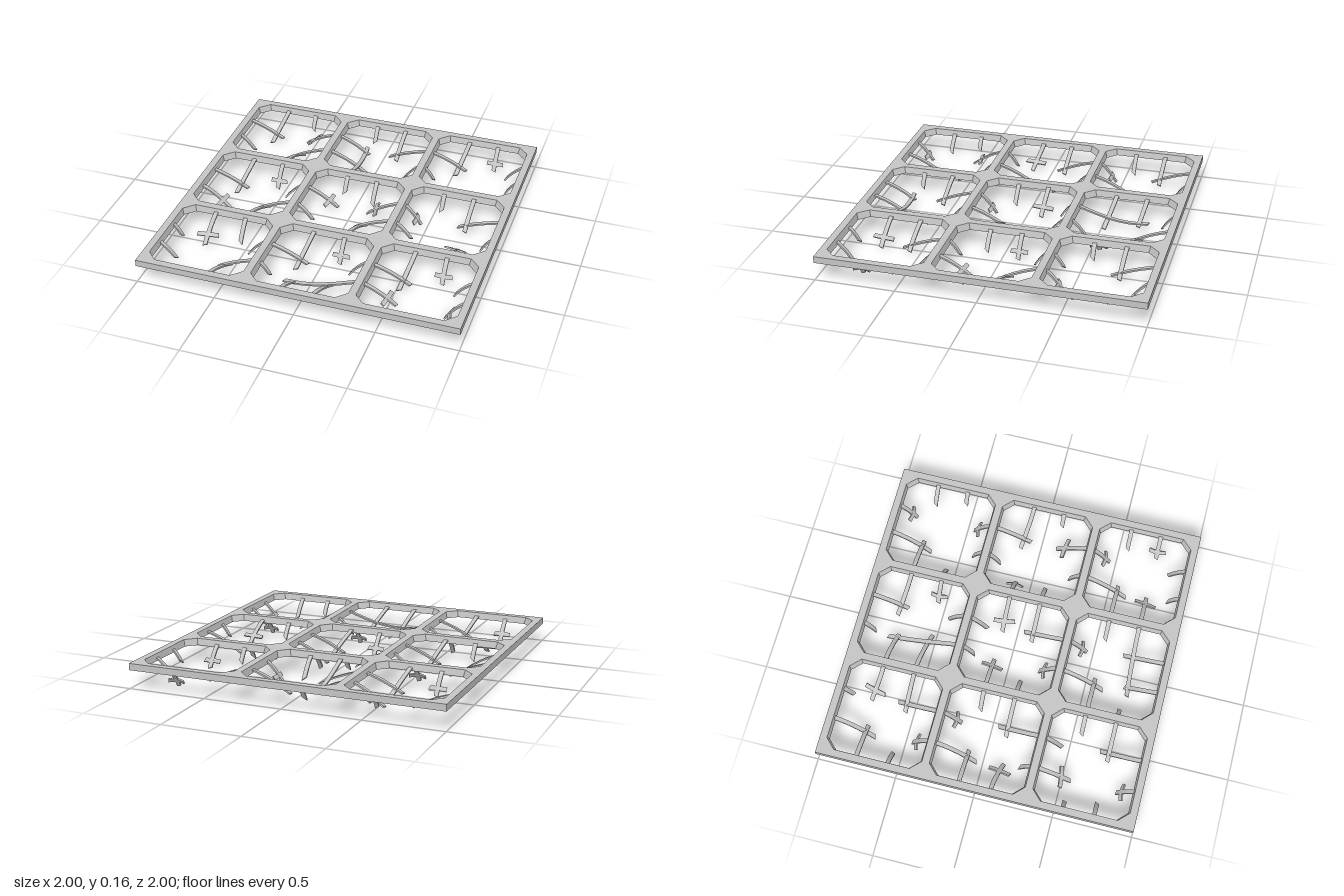
import * as THREE from 'three';

const HALF = 0.303;                       // half size of one opening
const CENTRES = [-0.6525, 0, 0.6525];
const LANES = [[-0.752, -0.553], [-0.1, 0.1], [0.553, 0.748]];
const FRAME_BOTTOM = 0.128, FRAME_TOP = 0.17;

// How the mesh broke at the four wire crossings of each opening, by row then column.
// Crossing order: back left, back right, front left, front right.
// joined: both wires reach it; steep / shallow: the named wire carries a cross piece;
// open: the named wire ends bare; span: the named wire runs on across the opening;
// loose: neither reaches it; trim: leftover stubs are extra short.
const BREAKS = [
  [['joined', 'shallowX trim', 'steepZ', 'joined'],
    ['openX', 'joined', 'spanZ', 'steepX'],
    ['joined', 'steepZ', 'loose trim', 'steepZ']],
  [['joined', 'steepZ', 'shallowX', 'joined'],
    ['shallowX', 'shallowX', 'steepZ', 'joined'],
    ['steepX', 'joined', 'loose', 'shallowZ']],
  [['shallowZ', 'loose', 'steepZ', 'joined'],
    ['joined', 'steepZ', 'openZ trim', 'spanX'],
    ['joined', 'steepZ', 'shallowX', 'steepX']],
];

// Reach from the frame, sideways drift, fall and cross piece of one wire
function planStrip(axis, kind, laneX, laneZ, col) {
  const diagonal = laneX === laneZ;
  const dir = (axis === 'X' ? laneZ : laneX) ? 1 : -1;
  if (kind === 'span' + axis) return { reach: 0.445, drift: dir * 0.023, fall: 0.085 };
  if (kind === 'joined' || kind.startsWith('span')) {
    return (axis === 'Z') === diagonal
      ? { reach: 0.263, drift: dir * 0.029, fall: 0.11 }
      : { reach: 0.232, drift: 0, fall: 0.1 };
  }
  if (kind.startsWith('open' + axis)) return { reach: 0.21, drift: 0.019, fall: 0.095 };
  if (kind.startsWith('steep' + axis)) {
    return { reach: 0.108, drift: 0, fall: 0.126, cross: { at: 0.08, half: 0.053, tilt: 0, bend: 3.5 } };
  }
  if (kind.startsWith('shallow' + axis)) {
    const drift = axis === 'X' && col === 0 ? dir * 0.03 : 0;
    const tilt = drift < 0 ? -0.035 : 0.018;
    return { reach: 0.203, drift, fall: 0.115, cross: { at: 0.146, half: 0.068, tilt, bend: 0.5 } };
  }
  if (kind.endsWith('trim')) return { reach: 0.062, drift: 0, fall: 0.08 };
  if (axis === 'Z') return laneX ? { reach: 0.105, drift: 0, fall: 0.12 } : { reach: 0.07, drift: 0, fall: 0.09 };
  return diagonal ? { reach: 0.057, drift: 0, fall: 0.075 } : { reach: 0.1, drift: 0, fall: 0.1 };
}

// Flat bar swept along pathAt(0..1), with a fixed width direction and a slanted tip
function sweepBar(pathAt, widthDir, slant) {
  const steps = 7, width = 0.027, thick = 0.01;
  const pos = [], index = [];
  for (let i = 0; i <= steps; i++) {
    const t = i / steps;
    const p = pathAt(t);
    const tangent = pathAt(t + 0.01).sub(pathAt(t - 0.01)).normalize();
    const normal = tangent.clone().cross(widthDir).normalize();
    for (const [a, b] of [[1, 1], [-1, 1], [-1, -1], [1, -1]]) {
      const v = p.clone().addScaledVector(widthDir, a * width / 2).addScaledVector(normal, b * thick / 2);
      if (i === steps) v.addScaledVector(tangent, a * slant);
      pos.push(v.x, v.y, v.z);
    }
  }
  for (let i = 0; i < steps; i++) for (let k = 0; k < 4; k++) {
    const a = i * 4 + k, b = i * 4 + (k + 1) % 4;
    index.push(a, b, b + 4, a, b + 4, a + 4);
  }
  const e = steps * 4;
  index.push(e, e + 1, e + 2, e, e + 2, e + 3, 0, 2, 1, 0, 3, 2);
  const g = new THREE.BufferGeometry();
  g.setAttribute('position', new THREE.Float32BufferAttribute(pos, 3));
  g.setIndex(index);
  const flat = g.toNonIndexed();
  flat.computeVertexNormals();
  return flat;
}

// Square frame with nine chamfered openings that narrow toward the underside
function frameGeometry() {
  const shape = new THREE.Shape([[-1, -1], [1, -1], [1, 1], [-1, 1]].map(([x, y]) => new THREE.Vector2(x, y)));
  const c = HALF - 0.062, h = HALF;
  const outline = [[-c, -h], [-h, -c], [-h, c], [-c, h], [c, h], [h, c], [h, -c], [c, -h]];
  for (const cx of CENTRES) for (const cy of CENTRES) {
    shape.holes.push(new THREE.Path(outline.map(([x, y]) => new THREE.Vector2(cx + x, cy + y))));
  }
  const g = new THREE.ExtrudeGeometry(shape, { depth: FRAME_TOP - FRAME_BOTTOM, bevelEnabled: false });
  g.rotateX(-Math.PI / 2);
  const p = g.attributes.position;
  const taper = (v) => {
    const centre = CENTRES[Math.round(v / CENTRES[2]) + 1];
    return centre + (v - centre) * 0.965;
  };
  for (let i = 0; i < p.count; i++) {
    if (p.getY(i) < 0.01 && Math.abs(p.getX(i)) < 0.99) p.setXYZ(i, taper(p.getX(i)), p.getY(i), taper(p.getZ(i)));
  }
  g.translate(0, FRAME_BOTTOM, 0);
  g.computeVertexNormals();
  return g;
}

export function createModel() {
  const model = new THREE.Group();
  const steel = new THREE.MeshStandardMaterial({ color: 0xc4c4c4 });
  steel.name = 'grey steel';
  const add = (parent, name, geometry) => {
    const mesh = new THREE.Mesh(geometry, steel);
    mesh.name = name;
    parent.add(mesh);
  };

  add(model, 'frame', frameGeometry());

  // One sagging wire, rooted in the edge of the opening nearest its crossing
  const addStrip = (cell, axis, kind, col, row, laneX, laneZ) => {
    const { reach, drift, fall, cross } = planStrip(axis, kind, laneX, laneZ, col);
    const isX = axis === 'X';
    const sign = (isX ? laneX : laneZ) ? -1 : 1;
    const inward = isX ? new THREE.Vector3(sign, 0, 0) : new THREE.Vector3(0, 0, sign);
    const sideways = isX ? new THREE.Vector3(0, 0, 1) : new THREE.Vector3(1, 0, 0);
    const lane = isX ? LANES[row][laneZ] : LANES[col][laneX];
    const edge = CENTRES[isX ? col : row] * sign - HALF;
    const pathAt = (t) => {
      const sag = kind === 'span' + axis ? Math.sin(Math.PI * 0.6 * t) : 0.6 * t + 0.4 * t * t;
      return new THREE.Vector3(0, 0.145 - fall * sag, 0)
        .addScaledVector(inward, edge + reach * t)
        .addScaledVector(sideways, lane + drift * Math.pow(Math.max(t, 0), 1.6));
    };
    const slant = reach < 0.14 && !cross ? 0.012 : 0.005;
    add(cell, 'bentStrip', sweepBar(pathAt, sideways, laneX ? slant : -slant));

    // Short remnant crossing the strip, its ends bent back toward the edge
    if (cross) {
      const t = cross.at / reach;
      const centre = pathAt(t);
      const down = pathAt(t + 0.02).sub(pathAt(t - 0.02)).normalize();
      const crossAt = (u) => {
        const s = cross.half * (2 * u - 1);
        const bend = cross.bend * s * s;
        const v = centre.clone().addScaledVector(sideways, s)
          .addScaledVector(inward, -cross.tilt * (u - 0.5) - bend);
        v.y -= bend * 0.6;
        return v;
      };
      add(cell, 'crossPiece', sweepBar(crossAt, down, 0.004));
    }
  };

  // Broken mesh in each opening
  BREAKS.forEach((cells, row) => cells.forEach((kinds, col) => {
    const cell = new THREE.Group();
    cell.name = 'brokenMesh';
    model.add(cell);
    kinds.forEach((kind, i) => {
      for (const axis of ['X', 'Z']) addStrip(cell, axis, kind, col, row, i % 2, Math.floor(i / 2));
    });
  }));
  return model;
}
